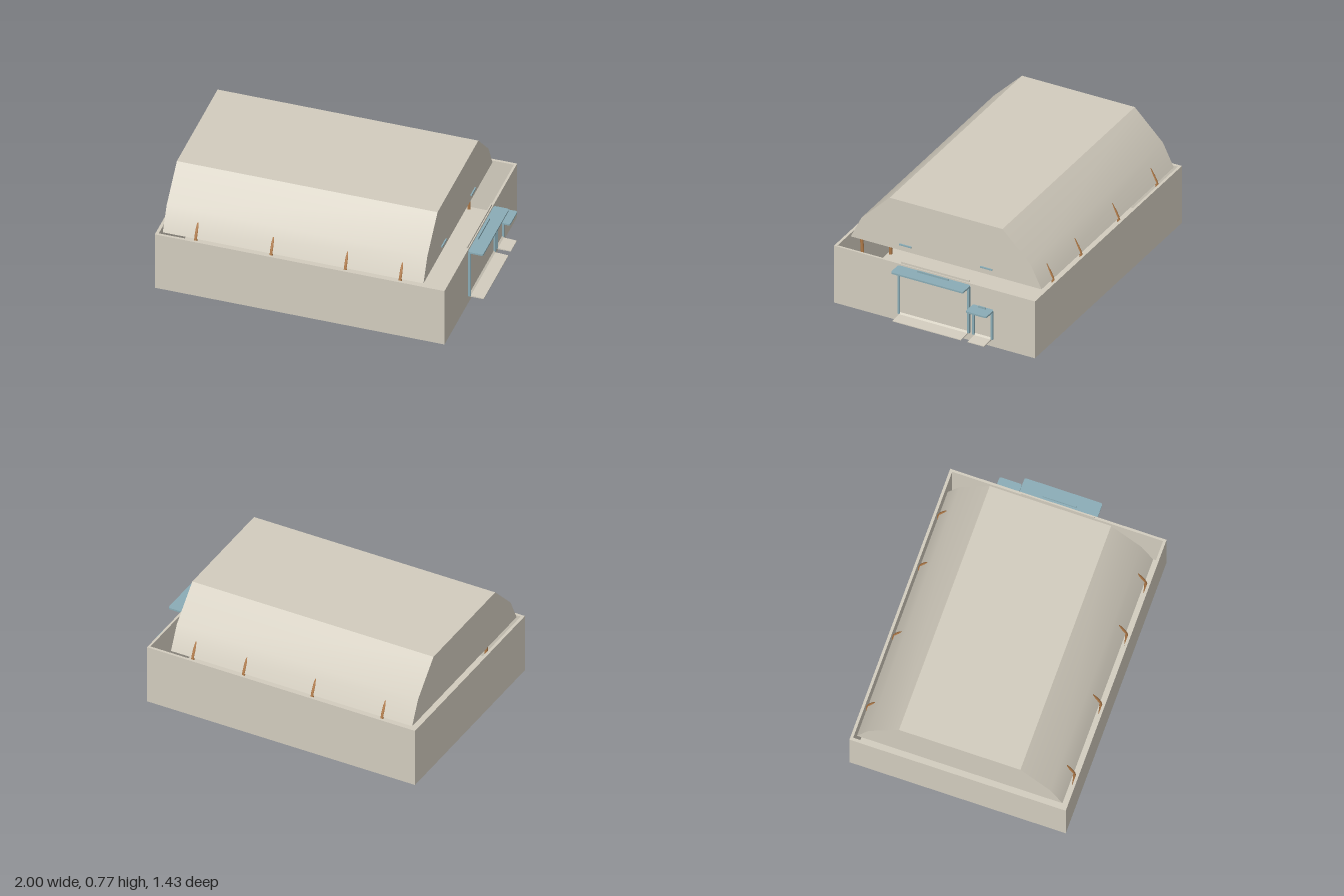
import * as THREE from 'three';
import { toCreasedNormals } from 'three/addons/utils/BufferGeometryUtils.js';

export function createModel() {
  const model = new THREE.Group();
  const mat = (name, color) => Object.assign(new THREE.MeshStandardMaterial({ color }), { name });
  const plaster = mat('beige plaster', 0xd2ccbe);
  const metal = mat('blue metal', 0x8aacb6);
  const timber = mat('brown timber', 0xb07a48);

  const add = (name, geo, material, parent = model) => {
    const mesh = new THREE.Mesh(geo, material);
    mesh.name = name;
    parent.add(mesh);
    return mesh;
  };
  // box given by its minimum and maximum corners
  const box = (name, a, b, material, parent) => {
    const mesh = add(name, new THREE.BoxGeometry(b[0] - a[0], b[1] - a[1], b[2] - a[2]), material, parent);
    mesh.position.set((a[0] + b[0]) / 2, (a[1] + b[1]) / 2, (a[2] + b[2]) / 2);
    return mesh;
  };
  const rectangle = (Type, x0, y0, x1, y1) => new Type([[x0, y0], [x1, y0], [x1, y1], [x0, y1]]
    .map(p => new THREE.Vector2(...p)));
  const polygon = pts => new THREE.Shape(pts.map(p => new THREE.Vector2(...p)));
  const extrude = (shape, depth) => new THREE.ExtrudeGeometry(shape, { depth, bevelEnabled: false });

  // open-topped base: thin walls around a floor
  const plan = rectangle(THREE.Shape, -1, -0.713, 0.9, 0.713);
  plan.holes.push(rectangle(THREE.Path, -0.98, -0.695, 0.885, 0.695));
  add('baseWalls', extrude(plan, 0.41).rotateX(-Math.PI / 2), plaster);
  box('baseFloor', [-0.99, 0, -0.705], [0.89, 0.02, 0.705], plaster);

  // faceted vault, smooth between its two lower slopes
  const vault = polygon([[-0.677, 0.41], [0.677, 0.41], [0.6, 0.567], [0.4, 0.767], [-0.4, 0.767], [-0.6, 0.567]]);
  const vaultGeo = extrude(vault, 1.71).rotateY(Math.PI / 2).translate(-0.96, 0, 0);
  add('vaultRoof', toCreasedNormals(vaultGeo, 0.5), plaster);

  // ribs that rise inside the walls and bend into the vault
  for (const x of [-0.745, -0.25, 0.237, 0.597]) {
    for (const side of [-1, 1]) {
      const path = new THREE.CatmullRomCurve3([[0.02, 0.675], [0.2, 0.677], [0.39, 0.677], [0.5, 0.622]]
        .map(([y, z]) => new THREE.Vector3(x, y, side * z)));
      add('rib', new THREE.TubeGeometry(path, 16, 0.011, 8), timber);
    }
  }

  // small lights on the gable
  for (const z of [-0.287, 0.287]) box('gableLight', [0.749, 0.449, z - 0.043], [0.759, 0.458, z + 0.043], metal);

  // canopy slab with rounded corners
  const canopyGeo = (halfWidth, thickness) => {
    const x0 = 0.9, x1 = 1, r = 0.015, w = halfWidth;
    const s = new THREE.Shape();
    s.moveTo(x0 + r, -w).lineTo(x1 - r, -w).quadraticCurveTo(x1, -w, x1, -w + r);
    s.lineTo(x1, w - r).quadraticCurveTo(x1, w, x1 - r, w);
    s.lineTo(x0 + r, w).quadraticCurveTo(x0, w, x0, w - r);
    s.lineTo(x0, -w + r).quadraticCurveTo(x0, -w, x0 + r, -w);
    return extrude(s, thickness).rotateX(-Math.PI / 2);
  };

  // doorway: posts, panel, lintel, ramp and canopy
  const doorway = (name, z, halfWidth, top, lampHalf) => {
    const g = new THREE.Group();
    g.name = name;
    g.position.z = z;
    model.add(g);
    const inner = halfWidth - 0.015;
    for (const s of [-1, 1]) {
      const c = s * (halfWidth - 0.009);
      box('doorPost', [0.898, 0.057, c - 0.007], [0.916, top - 0.012, c + 0.007], metal, g);
    }
    box('doorPanel', [0.895, 0.055, -inner], [0.904, top - 0.02, inner], plaster, g);
    const lintel = polygon([[0.9, top - 0.038], [0.916, top - 0.024], [0.916, top - 0.014], [0.9, top - 0.014]]);
    add('lintel', extrude(lintel, inner * 2).translate(0, 0, -inner), plaster, g);
    const ramp = polygon([[0.9, 0.047], [1, 0.047], [1, 0.052], [0.915, 0.056], [0.904, 0.066], [0.9, 0.066]]);
    add('ramp', extrude(ramp, inner * 2).translate(0, 0, -inner), plaster, g);
    add('canopy', canopyGeo(halfWidth, 0.011).translate(0, top - 0.012, 0), metal, g);
    box('canopyBracket', [0.9, top - 0.016, -inner], [0.925, top - 0.011, inner], metal, g);
    box('canopyFin', [0.917, top - 0.004, -lampHalf], [0.923, top + 0.012, lampHalf], metal, g);
  };
  doorway('mainDoorway', 0, 0.257, 0.4, 0.11);
  doorway('sideDoorway', -0.348, 0.074, 0.268, 0.026);

  // upper edge of the main door, above the parapet
  box('doorHead', [0.885, 0.4, -0.24], [0.893, 0.424, 0.24], plaster);

  return model;
}
